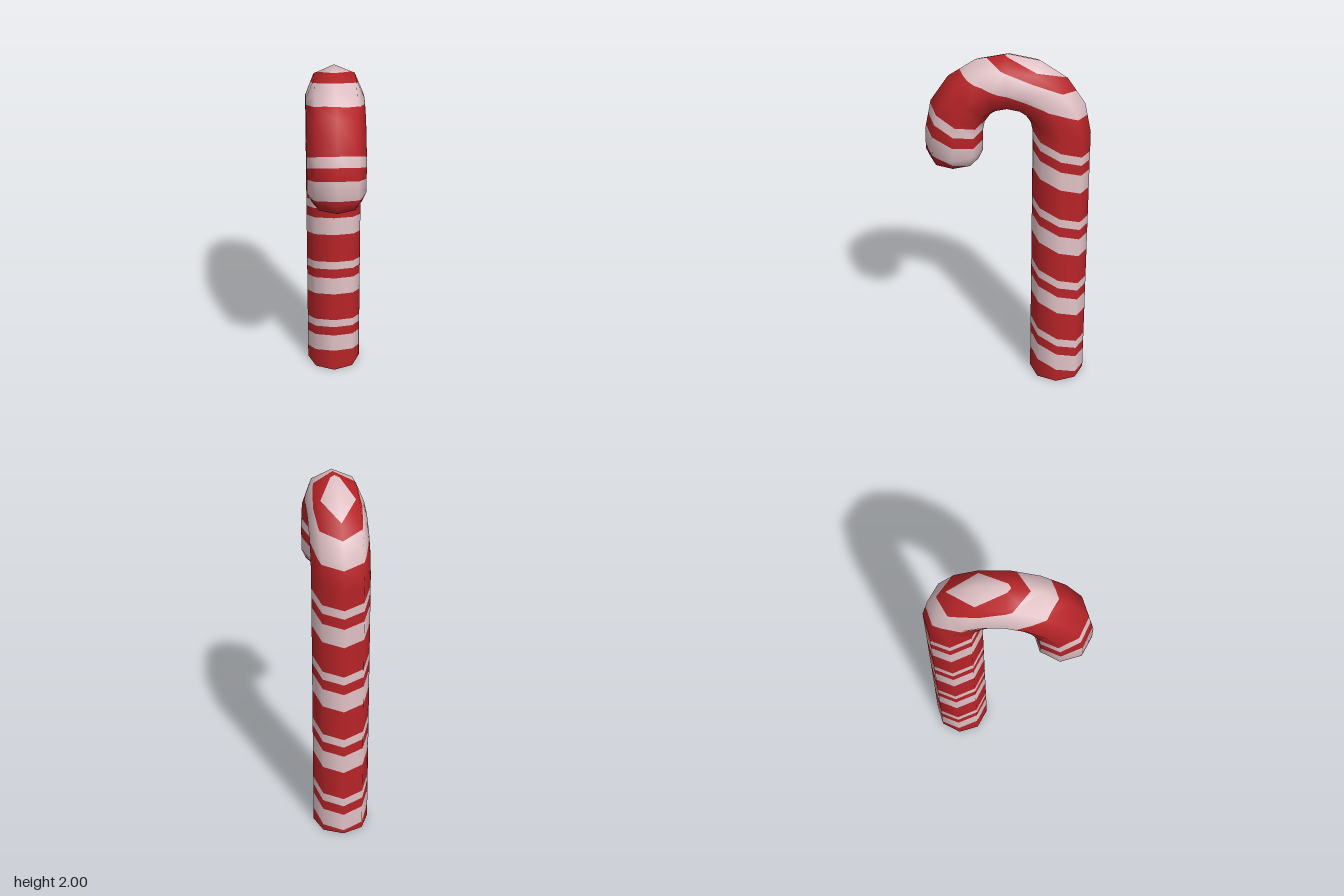
import * as THREE from 'three';

const SIDES = 8, TUBE = 0.155, BEND = 0.288, BEND_Y = 1.557, BEND_STEPS = 8;
// horizontal direction from shaft to tip, and the one across it
const ALONG = new THREE.Vector3(-0.636, 0, 0.771);
const ACROSS = new THREE.Vector3(-0.771, 0, -0.636);
const UP = new THREE.Vector3(0, 1, 0);

// heights of the colour changes on the tilted stripe field, red first
const LEVELS = [-10];
for (let i = 0; i < 4; i++) LEVELS.push(...[0.19, 0.30, 0.36, 0.41].map(v => v + 0.4 * i));
LEVELS.push(1.82, 1.935, 1.99, 10);

function stripeField(p) {
  const u = p.dot(ALONG);
  const tipShift = 0.09 * THREE.MathUtils.clamp((1.9 - p.y) / 0.3, 0, 1) * THREE.MathUtils.smoothstep(u, 0, 0.25);
  return p.y - 0.38 * u + tipShift;
}

// one ring of the cane; angle 0 is the shaft, PI the tip; lean tilts normals along the path
function ring(angle, drop, radius, lean) {
  const out = ALONG.clone().multiplyScalar(-Math.cos(angle)).addScaledVector(UP, Math.sin(angle));
  const tangent = ALONG.clone().multiplyScalar(Math.sin(angle)).addScaledVector(UP, Math.cos(angle));
  const centre = out.clone().multiplyScalar(BEND);
  centre.y += BEND_Y - drop;
  return Array.from({ length: SIDES + 1 }, (_, j) => {
    const t = j / SIDES * Math.PI * 2;
    const side = out.clone().multiplyScalar(Math.cos(t)).addScaledVector(ACROSS, Math.sin(t));
    const p = centre.clone().addScaledVector(side, radius);
    const n = side.clone().multiplyScalar(Math.cos(lean)).addScaledVector(tangent, Math.sin(lean));
    return { p, n, f: stripeField(p) };
  });
}

// keep the part of a polygon where sign * (f - level) >= 0
function clip(poly, level, sign) {
  const kept = [];
  poly.forEach((a, i) => {
    const b = poly[(i + 1) % poly.length];
    const da = sign * (a.f - level), db = sign * (b.f - level);
    if (da >= 0) kept.push(a);
    if ((da >= 0) !== (db >= 0)) {
      const s = da / (da - db);
      kept.push({ p: a.p.clone().lerp(b.p, s), n: a.n.clone().lerp(b.n, s).normalize(), f: level });
    }
  });
  return kept;
}

function toGeometry(corners) {
  const g = new THREE.BufferGeometry();
  g.setAttribute('position', new THREE.Float32BufferAttribute(corners.flatMap(c => c.p.toArray()), 3));
  g.setAttribute('normal', new THREE.Float32BufferAttribute(corners.flatMap(c => c.n.toArray()), 3));
  return g;
}

export function createModel() {
  const red = new THREE.MeshStandardMaterial({ color: 0xb82428 });
  red.name = 'candy red';
  const white = new THREE.MeshStandardMaterial({ color: 0xe2c3c7 });
  white.name = 'pinkish white';

  // shaft, bend, short end and blunt tip
  const rings = [ring(0, BEND_Y, TUBE, 0)];
  for (let i = 0; i <= BEND_STEPS; i++) rings.push(ring(i / BEND_STEPS * Math.PI, 0, TUBE, 0));
  rings.push(ring(Math.PI, 0.117, TUBE, 0.25), ring(Math.PI, 0.172, 0.13, 0.85), ring(Math.PI, 0.227, 0, Math.PI / 2));

  // cut every face along the stripe edges and sort the pieces by colour
  const pieces = [[], []];
  const addTriangle = tri => {
    for (let k = 0; k < LEVELS.length - 1; k++) {
      const poly = clip(clip(tri, LEVELS[k], 1), LEVELS[k + 1], -1);
      for (let i = 1; i < poly.length - 1; i++) pieces[k % 2].push(poly[0], poly[i], poly[i + 1]);
    }
  };
  for (let i = 0; i < rings.length - 1; i++) {
    for (let j = 0; j < SIDES; j++) {
      const a = rings[i][j], b = rings[i][j + 1], c = rings[i + 1][j + 1], d = rings[i + 1][j];
      addTriangle([a, b, d]);
      if (i < rings.length - 2) addTriangle([b, c, d]);
    }
  }

  // flat foot
  const down = new THREE.Vector3(0, -1, 0);
  const foot = rings[0].map(c => ({ p: c.p, n: down }));
  const footCorners = [];
  for (let j = 1; j < SIDES - 1; j++) footCorners.push(foot[0], foot[j + 1], foot[j]);

  const group = new THREE.Group();
  group.name = 'candyCane';
  const add = (name, corners, material) => {
    const mesh = new THREE.Mesh(toGeometry(corners), material);
    mesh.name = name;
    group.add(mesh);
  };
  add('redStripes', pieces[0], red);
  add('whiteStripes', pieces[1], white);
  add('foot', footCorners, red);
  return group;
}
